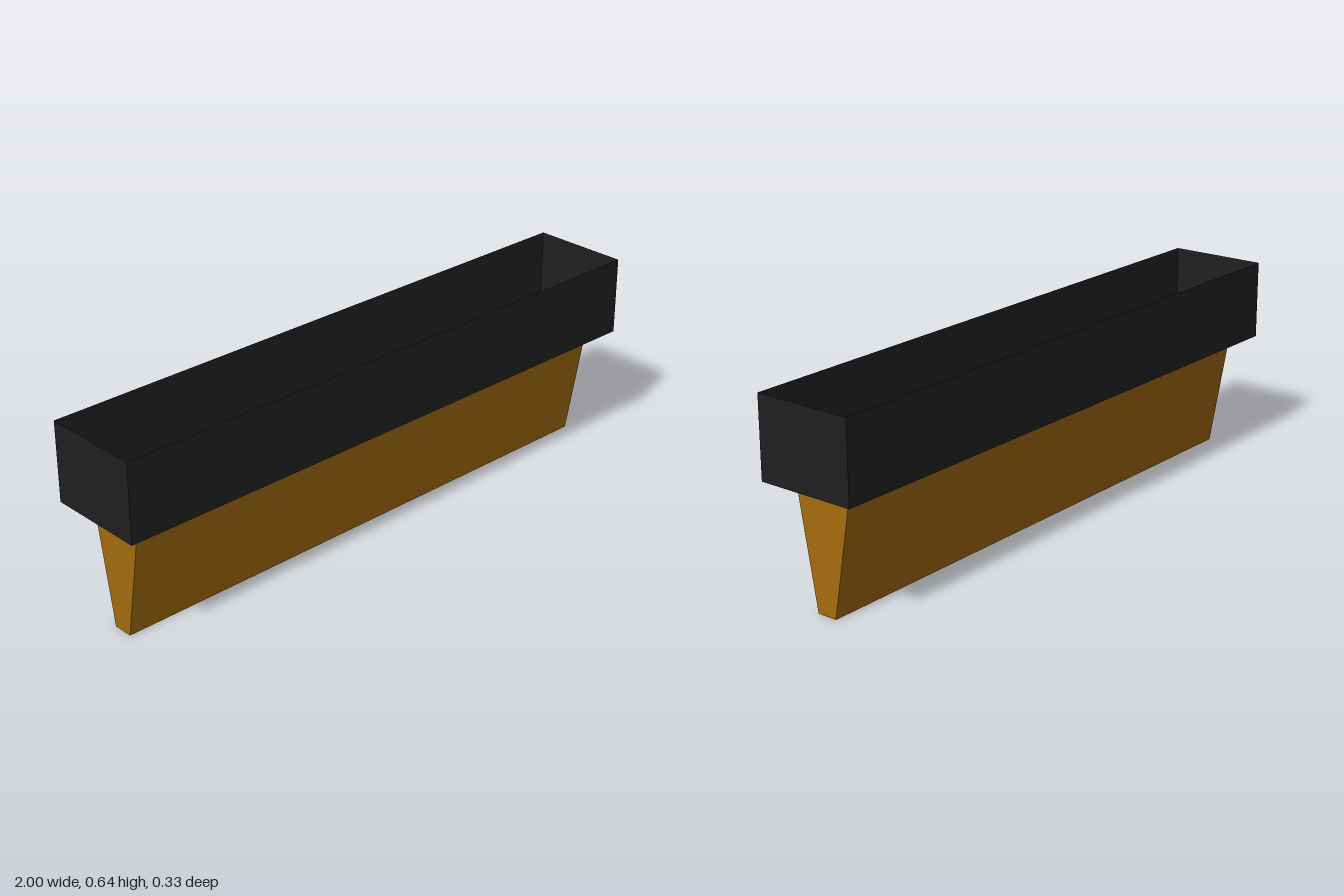
import * as THREE from 'three';

// Flat-shaded thin shell through rectangular sections [halfWidth, y, halfDepth], listed top to bottom
function rectShell(name, sections, material, closed) {
  const corner = ([w, y, d], i) => [[w, y, d], [w, y, -d], [-w, y, -d], [-w, y, d]][i % 4];
  const pos = [];
  const quad = (a, b, c, d) => pos.push(...a, ...b, ...c, ...a, ...c, ...d);
  for (let s = 0; s < sections.length - 1; s++) {
    const top = sections[s], low = sections[s + 1];
    for (let i = 0; i < 4; i++) {
      quad(corner(top, i), corner(low, i), corner(low, i + 1), corner(top, i + 1));
    }
  }
  if (closed) {
    const last = sections[sections.length - 1];
    quad(corner(last, 3), corner(last, 2), corner(last, 1), corner(last, 0));
  }
  const geo = new THREE.BufferGeometry();
  geo.setAttribute('position', new THREE.Float32BufferAttribute(pos, 3));
  geo.computeVertexNormals();
  const mesh = new THREE.Mesh(geo, material);
  mesh.name = name;
  return mesh;
}

export function createModel() {
  const group = new THREE.Group();
  group.name = 'trough';
  const black = new THREE.MeshStandardMaterial({ color: 0x1f1f1f, side: THREE.DoubleSide });
  const amber = new THREE.MeshStandardMaterial({ color: 0xa66c0e, side: THREE.DoubleSide });

  // Upright collar, open at the top, with a ledge running in to the trough mouth
  group.add(rectShell('collar', [[1, 0.638, 0.163], [1, 0.382, 0.163], [0.933, 0.382, 0.1]], black, false));

  // Tapered basin with upright ends, sloping sides and a narrow floor
  group.add(rectShell('basin', [[0.933, 0.382, 0.1], [0.933, 0, 0.033]], amber, true));

  return group;
}
